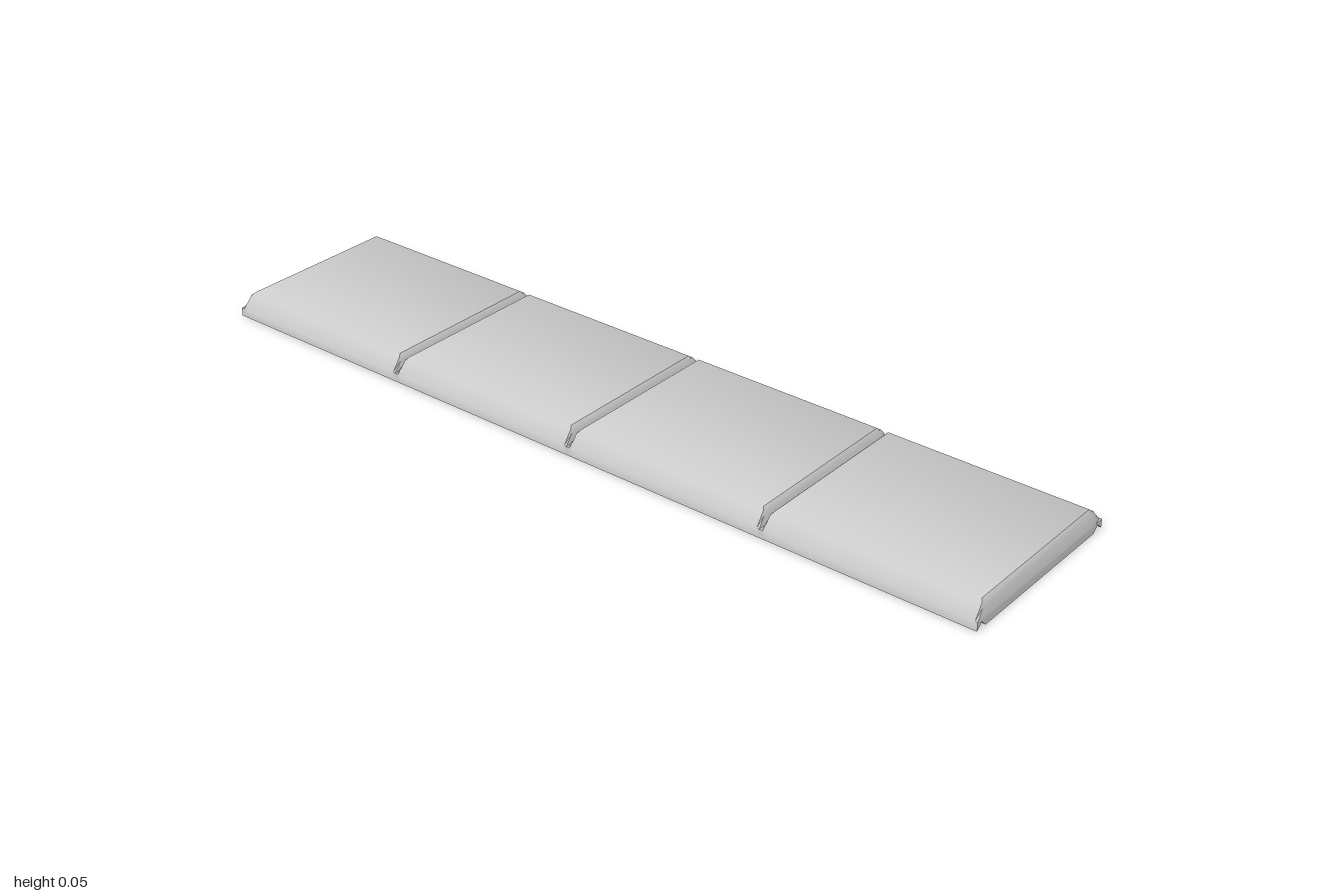
import * as THREE from 'three';
import { toCreasedNormals } from 'three/addons/utils/BufferGeometryUtils.js';

const SEGMENTS = 4, LENGTH = 0.5, LIP = 0.02;

// Half cross-section: floor edge, small notch, side lip, sloped shoulder.
const half = [[0.2, 0], [0.215, 0.015], [0.23, 0], [0.23, LIP], [0.205, 0.047], [0.198, 0.052]];
const profile = [...half, ...half.map(([x, y]) => [-x, y]).reverse()];

// Bevel at each end: [distance from the end, greatest height there]
const bevel = [[0, LIP], [0.006, 0.038], [0.009, 0.047], [0.014, 0.052]];

function slabGeometry() {
  const h = LENGTH / 2;
  const rows = [
    ...bevel.map(([d, top]) => [-h + d, top]),
    ...bevel.map(([d, top]) => [h - d, top]).reverse(),
  ];
  const n = profile.length;
  const positions = [], index = [];
  for (const [z, top] of rows)
    for (const [x, y] of profile) positions.push(x, Math.min(y, top), z);

  // Skin between neighbouring cross-sections
  for (let k = 0; k < rows.length - 1; k++) {
    for (let i = 0; i < n; i++) {
      const j = (i + 1) % n;
      const a = k * n + i, b = k * n + j, c = b + n, d = a + n;
      index.push(a, b, c, a, c, d);
    }
  }
  // End faces below the bevel
  const outline = profile.map(([x, y]) => new THREE.Vector2(x, Math.min(y, LIP)));
  const last = (rows.length - 1) * n;
  for (const [a, b, c] of THREE.ShapeUtils.triangulateShape(outline, []))
    index.push(last + a, last + b, last + c, a, c, b);

  const geometry = new THREE.BufferGeometry();
  geometry.setAttribute('position', new THREE.Float32BufferAttribute(positions, 3));
  geometry.setIndex(index);
  return toCreasedNormals(geometry, 0.75);
}

export function createModel() {
  const group = new THREE.Group();
  group.name = 'segmentedSlab';
  const material = new THREE.MeshStandardMaterial({ color: 0xcccccc, side: THREE.DoubleSide });
  const geometry = slabGeometry();

  // Equal slabs end to end, their bevels forming the grooves
  for (let i = 0; i < SEGMENTS; i++) {
    const slab = new THREE.Mesh(geometry, material);
    slab.name = `slab${i + 1}`;
    slab.position.z = (i - (SEGMENTS - 1) / 2) * LENGTH;
    group.add(slab);
  }
  return group;
}
